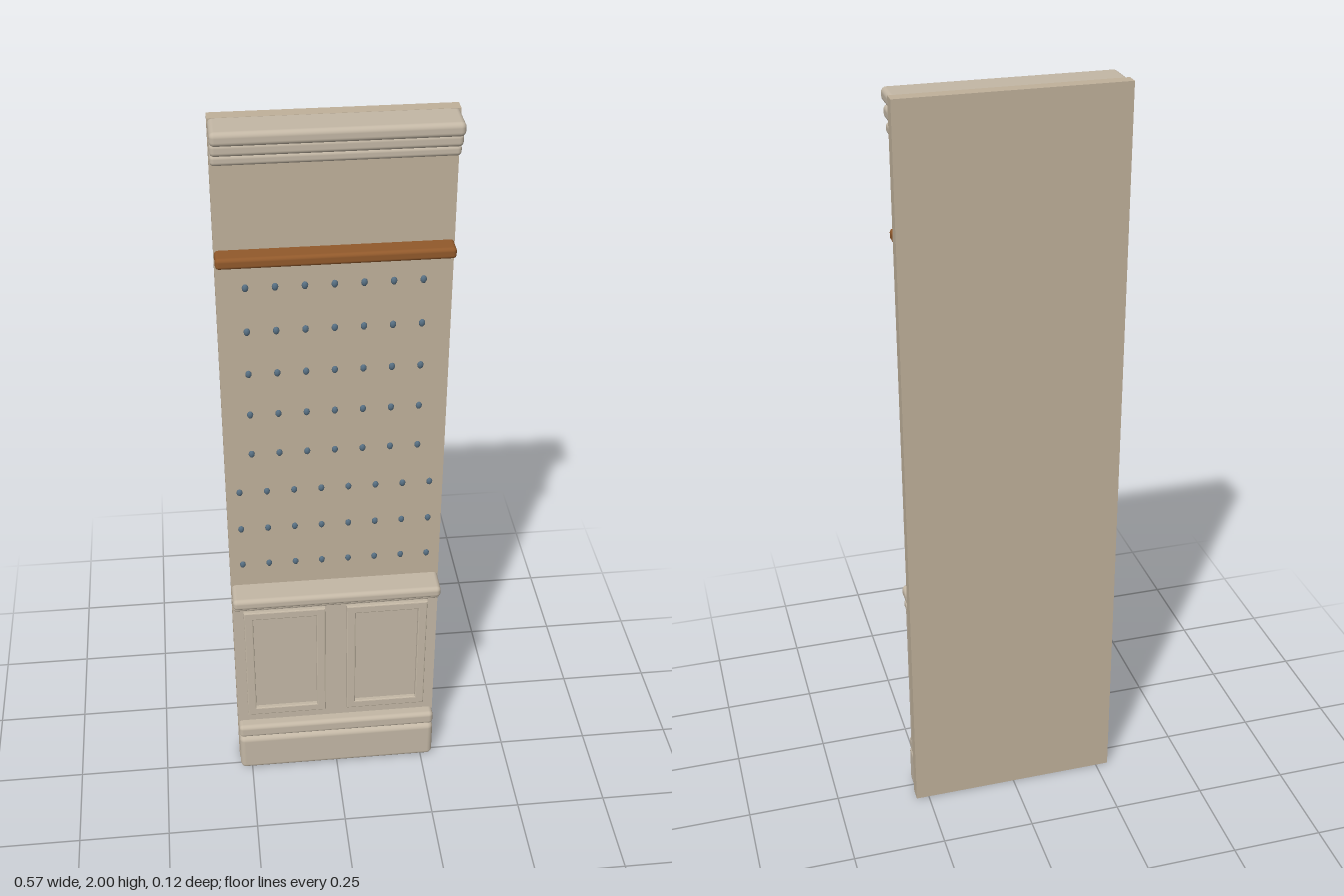
import * as THREE from 'three';
import { RoundedBoxGeometry } from 'three/addons/geometries/RoundedBoxGeometry.js';

const WIDTH = 0.57;
const WALL_FRONT = -0.028;

export function createModel() {
  const material = (name, color) => {
    const m = new THREE.MeshStandardMaterial({ color });
    m.name = name;
    return m;
  };
  const wall = material('wall plaster', 0xbfb09a);
  const trim = material('painted trim', 0xc3b7a5);
  const wood = material('wood', 0x91592b);
  const stud = material('blue grey studs', 0x587083);

  const model = new THREE.Group();
  model.name = 'wallPanel';
  const add = (name, geometry, mat, x = 0, y = 0, z = 0, parent = model) => {
    const mesh = new THREE.Mesh(geometry, mat);
    mesh.name = name;
    mesh.position.set(x, y, z);
    parent.add(mesh);
    return mesh;
  };

  // Wall slab
  add('wallSlab', new THREE.BoxGeometry(WIDTH, 2, 0.034), wall, 0, 1, -0.045);

  // Full-width rounded mouldings, their backs sunk into the slab
  const moulding = (name, y0, y1, front, radius, mat = trim) => {
    const back = -0.05;
    const geometry = new RoundedBoxGeometry(WIDTH - 0.003, y1 - y0, front - back, 4, radius);
    add(name, geometry, mat, 0, (y0 + y1) / 2, (front + back) / 2);
  };
  moulding('corniceTop', 1.966, 1.9995, 0.059, 0.012);
  moulding('corniceMiddle', 1.933, 1.965, 0.036, 0.011);
  moulding('corniceBottom', 1.903, 1.93, 0.016, 0.01);
  moulding('pictureRail', 1.647, 1.675, 0.02, 0.009, wood);
  moulding('chairRailTop', 0.627, 0.66, 0.045, 0.012);
  moulding('chairRailMiddle', 0.604, 0.629, 0.022, 0.009);
  moulding('skirtingCap', 0.123, 0.165, 0.023, 0.012);
  moulding('skirting', 0.004, 0.127, 0.03, 0.016);

  // Wainscot board
  add('wainscotBoard', new THREE.BoxGeometry(WIDTH - 0.002, 0.46, 0.04), trim, 0, 0.385, -0.028);

  // Two bevelled panel frames around recessed fields
  const rectangle = (path, w, h) =>
    path.moveTo(-w / 2, -h / 2).lineTo(w / 2, -h / 2).lineTo(w / 2, h / 2).lineTo(-w / 2, h / 2).closePath();
  const frameShape = rectangle(new THREE.Shape(), 0.219, 0.379);
  frameShape.holes.push(rectangle(new THREE.Path(), 0.181, 0.341));
  const frameGeometry = new THREE.ExtrudeGeometry(frameShape, {
    depth: 0.009, bevelEnabled: true, bevelThickness: 0.003, bevelSize: 0.003, bevelSegments: 2,
  });
  for (const side of [-1, 1]) {
    add(side > 0 ? 'leftPanelFrame' : 'rightPanelFrame', frameGeometry, trim, side * 0.1425, 0.388, -0.008);
  }

  // Studs: five rows of seven above three rows of eight
  const studs = new THREE.Group();
  studs.name = 'studs';
  model.add(studs);
  const studGeometry = new THREE.SphereGeometry(1, 8, 6).scale(0.008, 0.0105, 0.006);
  for (let row = 0; row < 8; row++) {
    const count = row < 5 ? 7 : 8;
    for (let i = 0; i < count; i++) {
      const x = (i - (count - 1) / 2) * 0.0714;
      add('stud', studGeometry, stud, x, 1.573 - row * 0.1202, WALL_FRONT, studs);
    }
  }
  return model;
}
